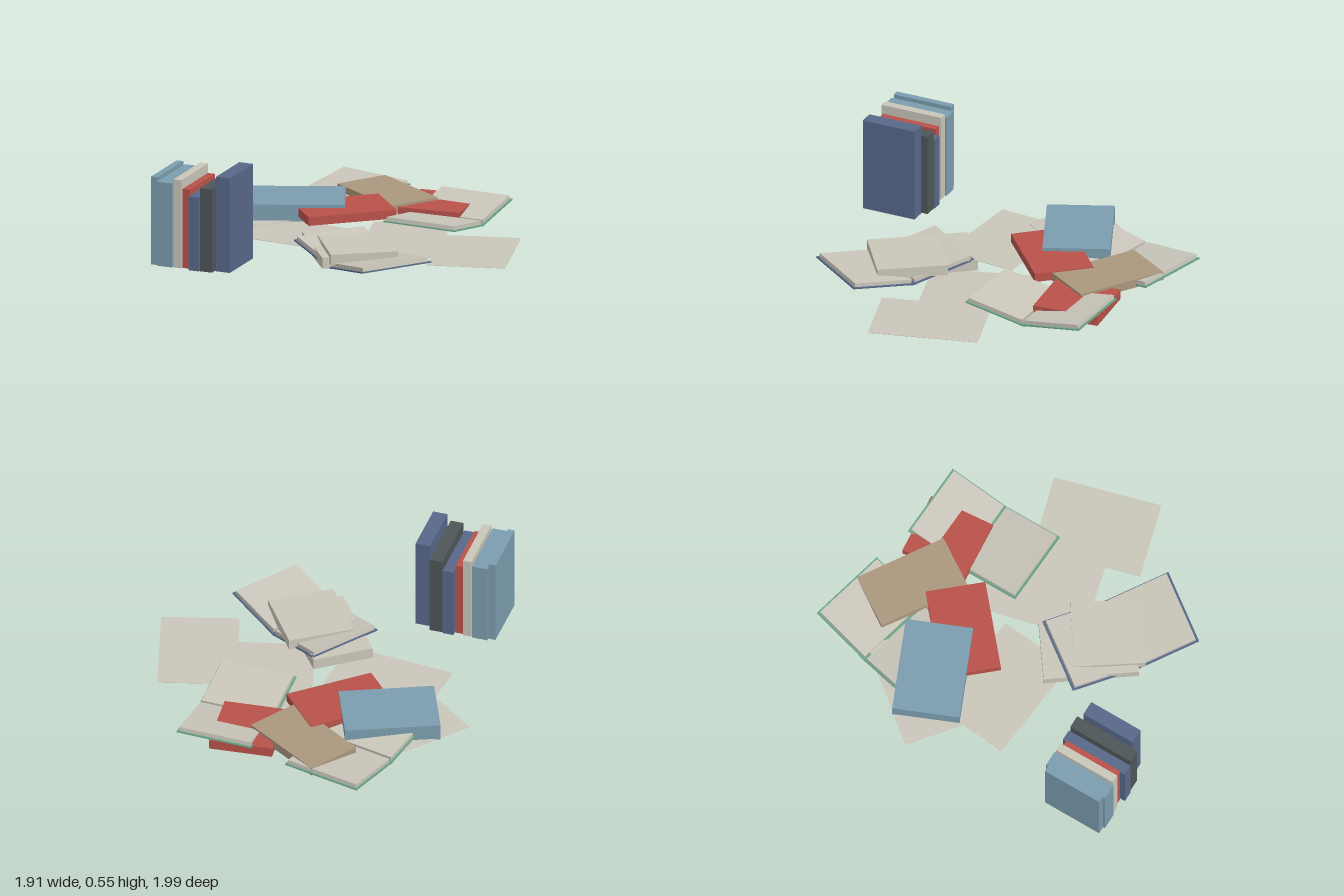
import * as THREE from 'three';

const paint = (name, color) => {
  const m = new THREE.MeshStandardMaterial({ color });
  m.name = name;
  return m;
};

export function createModel() {
  const model = new THREE.Group();
  model.name = 'bookPile';
  const paper = paint('cream paper', 0xc9c5b9);
  const blue = paint('light blue cover', 0x7b9cae);
  const red = paint('red cover', 0xb8524a);
  const navy = paint('navy cover', 0x586889);
  const charcoal = paint('charcoal cover', 0x4e5658);
  const tan = paint('tan cover', 0xaa977d);
  const green = paint('green cover', 0x6aa487);
  const rad = THREE.MathUtils.degToRad;

  const box = (parent, name, mat, w, h, d, x, y, z) => {
    const mesh = new THREE.Mesh(new THREE.BoxGeometry(w, h, d), mat);
    mesh.name = name;
    mesh.position.set(x, y, z);
    parent.add(mesh);
    return mesh;
  };

  // Row of standing books: x from, x to, top, z from, z to
  [
    [blue, -0.845, -0.806, 0.512, 0.63, 0.975],
    [blue, -0.804, -0.716, 0.49, 0.613, 0.987],
    [paper, -0.71, -0.663, 0.513, 0.62, 0.98],
    [red, -0.66, -0.617, 0.462, 0.63, 0.97],
    [navy, -0.613, -0.552, 0.432, 0.604, 0.998],
    [charcoal, -0.547, -0.475, 0.485, 0.61, 0.992],
    [navy, -0.467, -0.385, 0.55, 0.645, 0.958],
  ].forEach(([mat, x0, x1, top, z0, z1]) =>
    box(model, 'standingBook', mat, x1 - x0, top - 0.015, z1 - z0,
      (x0 + x1) / 2, (top + 0.015) / 2, (z0 + z1) / 2));

  // Closed books lying flat: centre x, z, width, depth, bottom, top, turn
  [
    [blue, -0.53, -0.276, 0.522, 0.37, 0.015, 0.11, 23.2],
    [red, -0.246, -0.255, 0.5, 0.33, 0.043, 0.092, 41.1],
    [red, 0.17, -0.607, 0.35, 0.375, 0.018, 0.073, 4.8],
    [tan, -0.153, -0.634, 0.523, 0.31, 0.038, 0.087, -33],
    [paper, 0.029, 0.377, 0.52, 0.34, 0.018, 0.08, -53.8],
    [paper, 0.142, 0.43, 0.37, 0.39, 0.045, 0.105, 34.6],
  ].forEach(([mat, x, z, w, d, y0, y1, turn]) => {
    box(model, 'lyingBook', mat, w, y1 - y0, d, x, (y0 + y1) / 2, z).rotation.y = rad(turn);
  });

  // Open books: two leaves rising from a narrow spine
  const openBook = (mat, x, z, width, half, turn, tilt) => {
    const book = new THREE.Group();
    book.name = 'openBook';
    book.position.set(x, 0.015, z);
    book.rotation.y = rad(turn);
    box(book, 'spine', mat, width, 0.008, 0.03, 0, 0.004, 0);
    for (const side of [1, -1]) {
      const leaf = new THREE.Group();
      leaf.name = 'openHalf';
      leaf.rotation.x = -side * rad(tilt);
      box(leaf, 'cover', mat, width, 0.007, half, 0, 0.0035, side * half / 2);
      box(leaf, 'pages', paper, width - 0.022, 0.022, half - 0.024, 0, 0.018, side * half / 2);
      book.add(leaf);
    }
    model.add(book);
  };
  openBook(green, -0.436, -0.578, 0.457, 0.37, -14, 6.5);
  openBook(green, 0.288, -0.449, 0.433, 0.357, -2.8, 9.2);
  openBook(navy, 0.193, 0.48, 0.433, 0.377, 54, 9.5);

  // Loose sheets: centre x, y, z, turn, slight tilt
  [
    [-0.6, 0.021, -0.292, 51.3, 0.4],
    [-0.393, 0.012, 0.09, -5.5, 0.5],
    [0.662, 0.016, 0.044, -74.3, 0.3],
    [0.206, 0.009, -0.038, -75.5, -1.2],
  ].forEach(([x, y, z, turn, tilt]) => {
    const sheet = box(model, 'looseSheet', paper, 0.605, 0.002, 0.427, x, y, z);
    sheet.rotation.set(0, rad(turn), rad(tilt));
  });

  return model;
}
